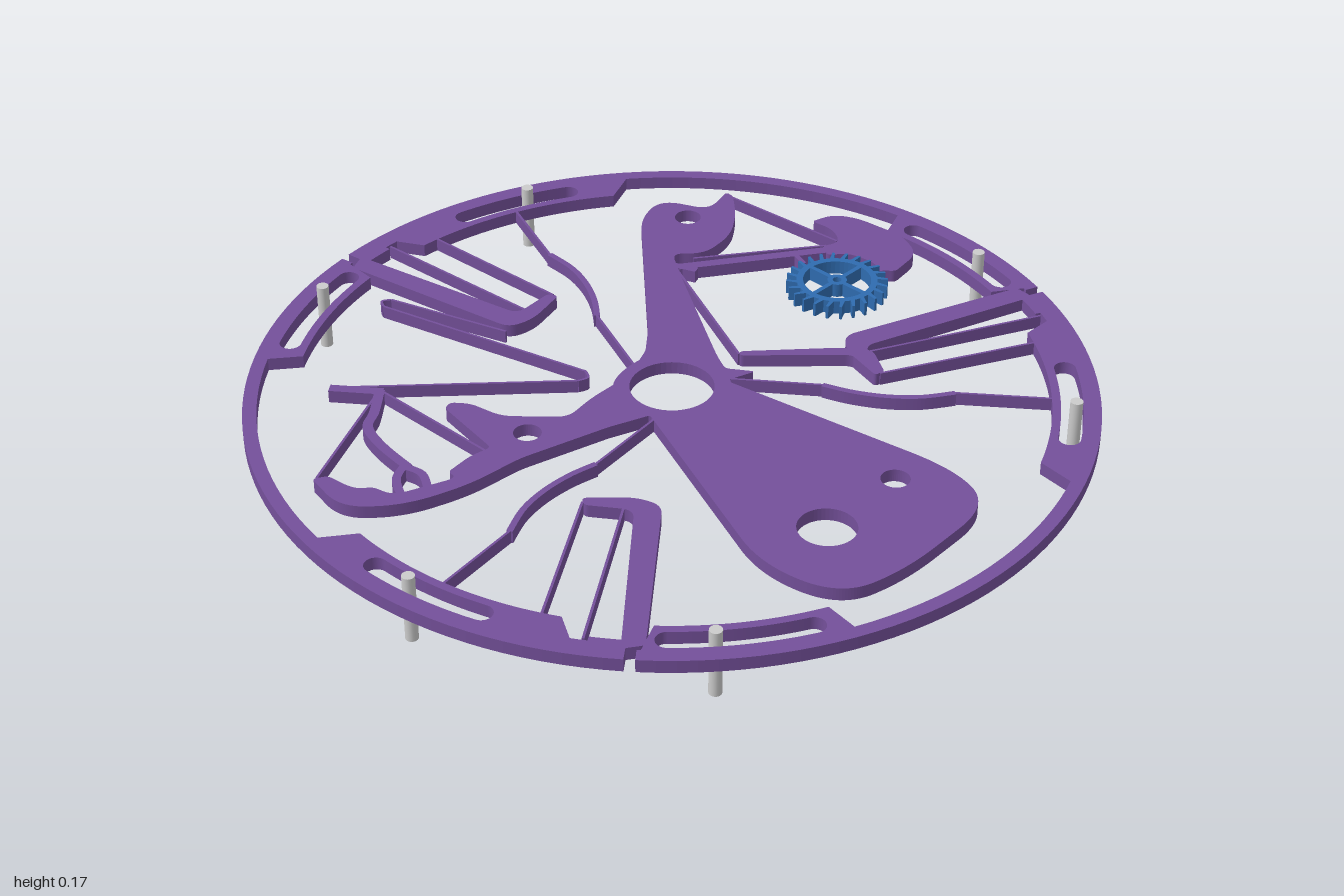
import * as THREE from 'three';

const TOP = 0.139, THICK = 0.032, DEG = Math.PI / 180;
const purple = new THREE.MeshStandardMaterial({ color: 0x74509a });
const blue = new THREE.MeshStandardMaterial({ color: 0x2f6cb0 });
const grey = new THREE.MeshStandardMaterial({ color: 0xcccccc });

// Extrude a plan shape drawn in (x, z) downwards from the given top height
function plate(parent, name, shape, material = purple, top = TOP, depth = THICK) {
  const g = new THREE.ExtrudeGeometry(shape, { depth, bevelEnabled: false, curveSegments: 24 });
  g.rotateX(Math.PI / 2).translate(0, top, 0);
  const mesh = new THREE.Mesh(g, material);
  mesh.name = name;
  parent.add(mesh);
  return mesh;
}

// Closed outline through corners [x, z, rounding]
function outline(corners, holes = []) {
  const s = new THREE.Shape(), n = corners.length;
  const toward = (a, b, r) => {
    const d = Math.hypot(b[0] - a[0], b[1] - a[1]), t = Math.min(r, d * 0.5) / d;
    return [a[0] + (b[0] - a[0]) * t, a[1] + (b[1] - a[1]) * t];
  };
  corners.forEach((c, i) => {
    const r = c[2] ?? 0.012;
    const p = toward(c, corners[(i + n - 1) % n], r), q = toward(c, corners[(i + 1) % n], r);
    if (i) s.lineTo(...p); else s.moveTo(...p);
    s.quadraticCurveTo(c[0], c[1], ...q);
  });
  s.closePath();
  for (const [x, z, r] of holes) s.holes.push(new THREE.Path().absarc(x, z, r, 0, Math.PI * 2, true));
  return s;
}

// Strip of constant width along a smooth path
function strip(pts, w) {
  const v = pts.map(p => new THREE.Vector2(...p));
  const curve = v.length > 2 ? new THREE.SplineCurve(v) : new THREE.LineCurve(v[0], v[1]);
  const n = v.length > 2 ? 8 * v.length : 1, a = [], b = [];
  for (let i = 0; i <= n; i++) {
    const p = curve.getPoint(i / n), t = curve.getTangent(i / n);
    a.push(new THREE.Vector2(p.x - t.y * w / 2, p.y + t.x * w / 2));
    b.unshift(new THREE.Vector2(p.x + t.y * w / 2, p.y - t.x * w / 2));
  }
  return new THREE.Shape([...a, ...b]);
}

// Ring sector in degrees; the inner edge is shortened by taper at both ends
function sector(a0, a1, r0, r1, taper = 0) {
  const s = new THREE.Shape();
  s.absarc(0, 0, r1, a0 * DEG, a1 * DEG, false);
  s.absarc(0, 0, r0, (a1 - taper) * DEG, (a0 + taper) * DEG, true);
  s.closePath();
  return s;
}

// Curved slot with round ends
function slot(a0, a1, r, h) {
  const p = new THREE.Path(), at = a => [r * Math.cos(a * DEG), r * Math.sin(a * DEG)];
  p.absarc(0, 0, r + h, a0 * DEG, a1 * DEG, false);
  p.absarc(...at(a1), h, a1 * DEG, (a1 + 180) * DEG, false);
  p.absarc(0, 0, r - h, a1 * DEG, a0 * DEG, true);
  p.absarc(...at(a0), h, (a0 + 180) * DEG, (a0 + 360) * DEG, false);
  return p;
}

const BLADE = 0.006;

// One third of the rim with its mounts, beam and flexures
function rimUnit(index) {
  const u = new THREE.Group();
  u.name = 'rimUnit';
  plate(u, 'rimArc', sector(58.6, 177.2, 0.967, 1));
  for (const [a0, a1, s0, s1, pin] of [[65, 106, 78.3, 96, 89.4], [29.5, 56.8, 34.2, 53.5, 47.3]]) {
    const pad = sector(a0, a1, 0.886, 0.975, a1 > 60 ? 3 : 1.5);
    pad.holes.push(slot(s0, s1, 0.932, 0.026));
    plate(u, 'slottedMount', pad);
    const post = new THREE.Mesh(new THREE.CylinderGeometry(0.015, 0.015, 0.17, 20), grey);
    post.position.set(0.94 * Math.cos(pin * DEG), 0.085, 0.94 * Math.sin(pin * DEG));
    post.name = 'pin';
    u.add(post);
  }
  plate(u, 'rimThickening', sector(58.6, 67, 0.95, 0.975));
  plate(u, 'stopTongue', sector(55.5, 63.5, 0.937, 0.952));
  // Rigid beam with bent foot
  plate(u, 'beam', outline([[0.53, 0.79], [0.495, 0.83], [0.225, 0.435, 0.03],
    [0.125, 0.488], [0.105, 0.47], [0.2, 0.395, 0.04], [0.265, 0.385, 0.03]]));
  // Straight suspension blades
  plate(u, 'suspensionBlade', strip([[0.115, 0.48], [0.317, 0.89]], BLADE));
  plate(u, 'suspensionBlade', strip([[0.2, 0.44], [0.412, 0.85]], BLADE));
  // Hub flexure, stiffened in the middle
  plate(u, 'hubFlexure', strip([[0.06, 0.895], [0.055, 0.655]], BLADE));
  plate(u, 'flexureStiffener', strip([[0.055, 0.66], [0.028, 0.58], [0.021, 0.5], [0.03, 0.42], [0.05, 0.35]], 0.015));
  plate(u, 'hubFlexure', strip([[0.05, 0.355], [0.048, 0.1]], BLADE));
  u.rotation.y = -index * 120 * DEG;
  return u;
}

function rotor() {
  const g = new THREE.Group();
  g.name = 'rotor';
  plate(g, 'hub', outline([[0.125, 0.125, 0.125], [-0.125, 0.125, 0.125], [-0.125, -0.125, 0.125],
    [0.125, -0.125, 0.125]].map(([x, z, r]) => [x * 1.05, z * 1.05, r * 1.05]), [[0, 0, 0.1]]));
  // Large paddle
  plate(g, 'paddle', outline([[0.085, -0.095], [0.71, -0.12, 0.12], [0.84, -0.05, 0.11], [0.82, 0.25, 0.1],
    [0.76, 0.41, 0.12], [0.56, 0.425, 0.1], [0.03, 0.125], [0.08, 0.08], [0.112, 0]],
    [[0.62, -0.01, 0.034], [0.6, 0.23, 0.068]]));
  // Arm with the beaked head
  plate(g, 'beakedArm', outline([[-0.425, -0.795], [-0.4, -0.79], [-0.34, -0.72, 0.04], [-0.29, -0.63, 0.05],
    [-0.29, -0.52, 0.04], [-0.355, -0.47, 0.03], [-0.27, -0.395, 0.02], [0.01, -0.165, 0.03], [0.055, -0.135],
    [0.12, -0.168], [0.085, -0.09], [0.05, -0.1], [-0.05, -0.1], [-0.1, -0.05], [-0.125, -0.03], [-0.14, -0.08],
    [-0.19, -0.155], [-0.52, -0.555, 0.05], [-0.54, -0.66, 0.06], [-0.41, -0.7, 0.04]], [[-0.43, -0.635, 0.033]]));
  // Arm with the hooked end
  plate(g, 'hookedArm', outline([[0.035, 0.12], [-0.015, 0.22], [-0.1, 0.44, 0.03], [-0.125, 0.58, 0.06],
    [-0.19, 0.73, 0.08], [-0.3, 0.82, 0.06], [-0.42, 0.78], [-0.4, 0.75], [-0.32, 0.75, 0.03], [-0.29, 0.72],
    [-0.235, 0.715, 0.03], [-0.165, 0.58, 0.03], [-0.195, 0.575], [-0.195, 0.5, 0.02], [-0.18, 0.445],
    [-0.365, 0.39], [-0.37, 0.365], [-0.33, 0.34, 0.02], [-0.24, 0.335, 0.03], [-0.115, 0.245, 0.03],
    [-0.12, 0.15, 0.03], [-0.11, 0.05], [-0.05, 0.1]], [[-0.15, 0.35, 0.033]]));
  return g;
}

function upperPallet() {
  const g = new THREE.Group();
  g.name = 'upperPallet';
  plate(g, 'palletHead', outline([[-0.165, -0.81], [-0.14, -0.87, 0.03], [-0.08, -0.893, 0.03], [0.06, -0.89, 0.04],
    [0.135, -0.84, 0.04], [0.138, -0.74], [0.115, -0.725], [0.1, -0.71], [0.08, -0.74, 0.03], [0, -0.74, 0.03],
    [-0.04, -0.7], [-0.075, -0.725], [-0.05, -0.77, 0.03], [-0.1, -0.81, 0.03]]));
  plate(g, 'palletBar', strip([[-0.055, -0.72], [-0.305, -0.43]], 0.026));
  plate(g, 'barEnd', strip([[-0.32, -0.43], [-0.26, -0.445]], 0.02));
  plate(g, 'stopNub', strip([[-0.1, -0.65], [-0.065, -0.632]], 0.012));
  for (const p of [[[-0.41, -0.785], [-0.06, -0.77]], [[-0.07, -0.735], [-0.3, -0.485]], [[-0.305, -0.42], [0.045, -0.205]]])
    plate(g, 'palletBlade', strip(p, BLADE));
  plate(g, 'driveFinger', outline([[0.29, -0.41, 0.02], [0.365, -0.35], [0.35, -0.33], [0.265, -0.365, 0.02],
    [0.05, -0.2], [0.04, -0.215], [0.22, -0.37]]));
  return g;
}

function lowerLever() {
  const g = new THREE.Group();
  g.name = 'lowerLever';
  plate(g, 'leverBar', strip([[-0.635, 0.49], [-0.525, 0.425]], 0.026));
  plate(g, 'leverArm', strip([[-0.535, 0.425], [-0.485, 0.5], [-0.455, 0.555], [-0.38, 0.59], [-0.28, 0.615]], 0.024));
  plate(g, 'forkProng', strip([[-0.295, 0.62], [-0.24, 0.615], [-0.195, 0.645]], 0.02));
  plate(g, 'forkProng', strip([[-0.29, 0.615], [-0.27, 0.665], [-0.22, 0.705]], 0.02));
  for (const p of [
    [[-0.53, 0.425], [-0.18, 0.462]],
    [[-0.53, 0.44], [-0.415, 0.77]],
    [[-0.62, 0.475], [-0.19, 0.115]],
    [[-0.19, 0.115], [-0.18, 0.09], [-0.2, 0.073]],
    [[-0.2, 0.073], [-0.77, 0.15]],
    [[-0.77, 0.15], [-0.788, 0.135], [-0.775, 0.116]],
    [[-0.775, 0.116], [-0.46, 0.055]]]) plate(g, 'leverBlade', strip(p, BLADE));
  return g;
}

// Escape wheel with slanted teeth and four spokes
function escapeWheel() {
  const g = new THREE.Group(), teeth = 24, rim = new THREE.Shape();
  g.name = 'escapeWheel';
  const at = (r, t) => [r * Math.cos(t / teeth * Math.PI * 2), r * Math.sin(t / teeth * Math.PI * 2)];
  rim.moveTo(...at(0.1, 0));
  for (let i = 0; i < teeth; i++) {
    rim.lineTo(...at(0.126, i + 0.35));
    rim.lineTo(...at(0.125, i + 0.55));
    rim.lineTo(...at(0.1, i + 0.42));
    rim.lineTo(...at(0.1, i + 1));
  }
  rim.holes.push(new THREE.Path().absarc(0, 0, 0.084, 0, Math.PI * 2, true));
  plate(g, 'toothedRim', rim, blue, 0.157, 0.035);
  const hub = new THREE.Shape().absarc(0, 0, 0.024, 0, Math.PI * 2, false);
  hub.holes.push(new THREE.Path().absarc(0, 0, 0.011, 0, Math.PI * 2, true));
  plate(g, 'wheelHub', hub, blue, 0.157, 0.035);
  for (let i = 0; i < 4; i++)
    plate(g, 'spoke', strip([[0.018, 0], [0.088, 0]], 0.012), blue, 0.157, 0.035).rotation.y = i * Math.PI / 2 - 0.12;
  g.position.set(0.06, 0, -0.595);
  return g;
}

export function createModel() {
  const model = new THREE.Group();
  model.name = 'flexureMechanism';
  for (let i = 0; i < 3; i++) model.add(rimUnit(i));
  model.add(rotor(), upperPallet(), lowerLever(), escapeWheel());
  return model;
}
